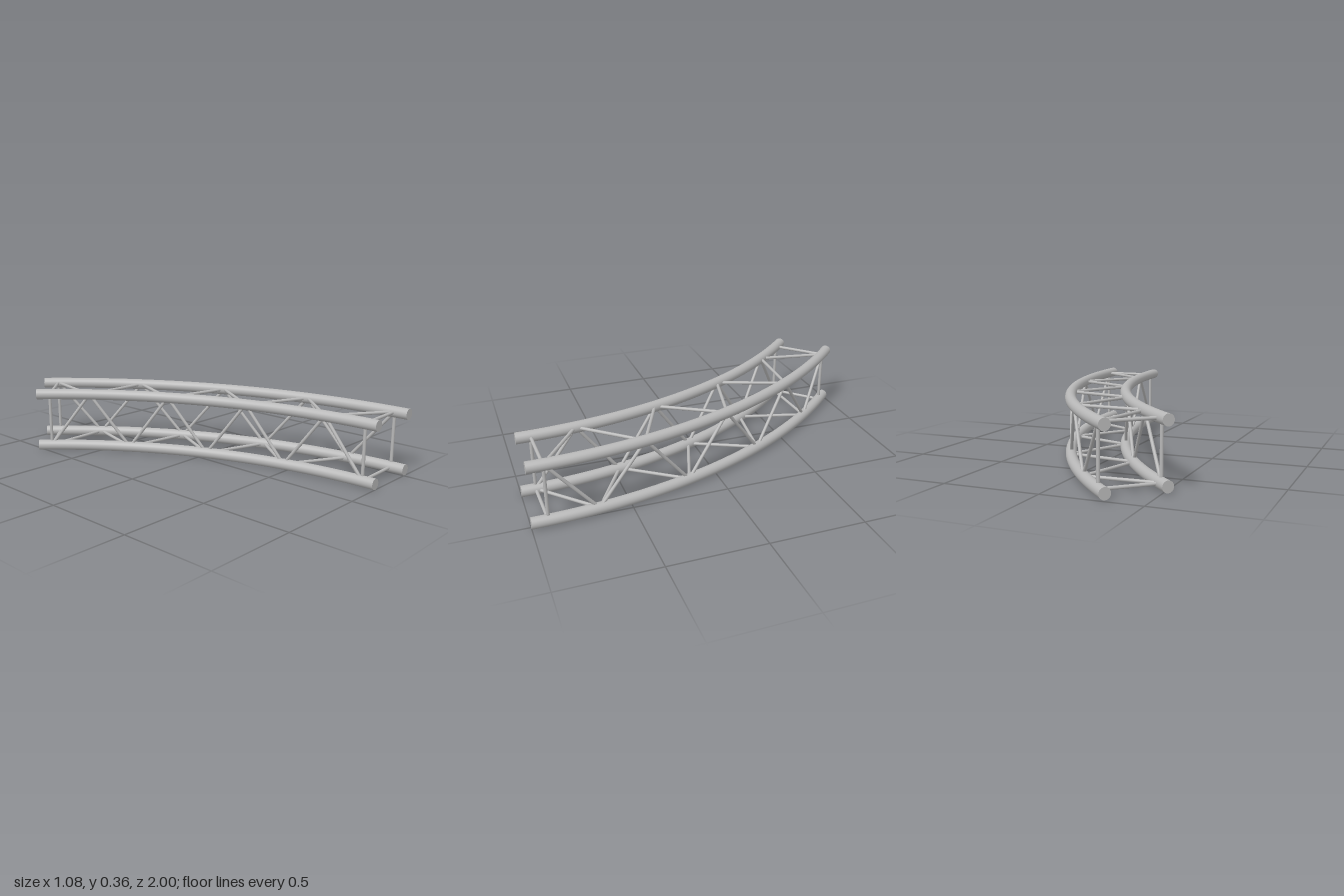
import * as THREE from 'three';

export function createModel() {
  const model = new THREE.Group();
  model.name = 'curvedTruss';
  const metal = new THREE.MeshStandardMaterial({ color: 0xb8b8b8 });
  metal.name = 'brushed aluminium';

  const INNER = 2.5, OUTER = 2.8, LOW = 0.03, HIGH = 0.33;
  const ARC = Math.PI / 4, CHORD_R = 0.0295, STRUT_R = 0.0088, BAYS = 8;
  const centre = new THREE.Vector3(INNER > 0 ? -2.29 : 0, 0, 1);
  const first = THREE.MathUtils.degToRad(1.68);
  const step = (ARC - 2 * first) / BAYS;

  const add = (geometry, name) => {
    const mesh = new THREE.Mesh(geometry, metal);
    mesh.name = name;
    model.add(mesh);
    return mesh;
  };

  // Point on a chord's centreline
  const onArc = (radius, y, angle) => new THREE.Vector3(
    centre.x + radius * Math.cos(angle), y, centre.z - radius * Math.sin(angle));
  const node = (radius, y, k) => onArc(radius, y, first + k * step);

  // Four curved main tubes with flat end caps
  for (const radius of [INNER, OUTER]) {
    for (const y of [LOW, HIGH]) {
      const name = (radius === INNER ? 'inner' : 'outer') + (y === LOW ? 'Lower' : 'Upper') + 'Chord';
      const tube = new THREE.TorusGeometry(radius, CHORD_R, 24, 40, ARC);
      tube.rotateX(-Math.PI / 2);
      add(tube, name).position.set(centre.x, y, centre.z);
      for (const [angle, turn] of [[0, 0], [ARC, ARC + Math.PI]]) {
        const cap = add(new THREE.CircleGeometry(CHORD_R, 24), name + 'Cap');
        cap.position.copy(onArc(radius, y, angle));
        cap.rotation.y = turn;
      }
    }
  }

  // Thin round bar between two points
  const up = new THREE.Vector3(0, 1, 0);
  const strut = (a, b, name) => {
    const dir = b.clone().sub(a);
    const bar = add(new THREE.CylinderGeometry(STRUT_R, STRUT_R, dir.length(), 12, 1, true), name);
    bar.position.copy(a).add(b).multiplyScalar(0.5);
    bar.quaternion.setFromUnitVectors(up, dir.normalize());
  };

  // Each face: the chord holding even nodes, then the chord holding odd nodes
  const faces = [
    ['top', [OUTER, HIGH], [INNER, HIGH]],
    ['bottom', [INNER, LOW], [OUTER, LOW]],
    ['outer', [OUTER, HIGH], [OUTER, LOW]],
    ['inner', [INNER, LOW], [INNER, HIGH]],
  ];
  for (const [face, even, odd] of faces) {
    // Square struts closing both ends
    for (const k of [0, BAYS]) strut(node(...even, k), node(...odd, k), face + 'EndStrut');
    // Zigzag bracing
    for (let k = 0; k < BAYS; k++) {
      const [from, to] = k % 2 ? [odd, even] : [even, odd];
      strut(node(...from, k), node(...to, k + 1), face + 'Brace');
    }
  }
  return model;
}
